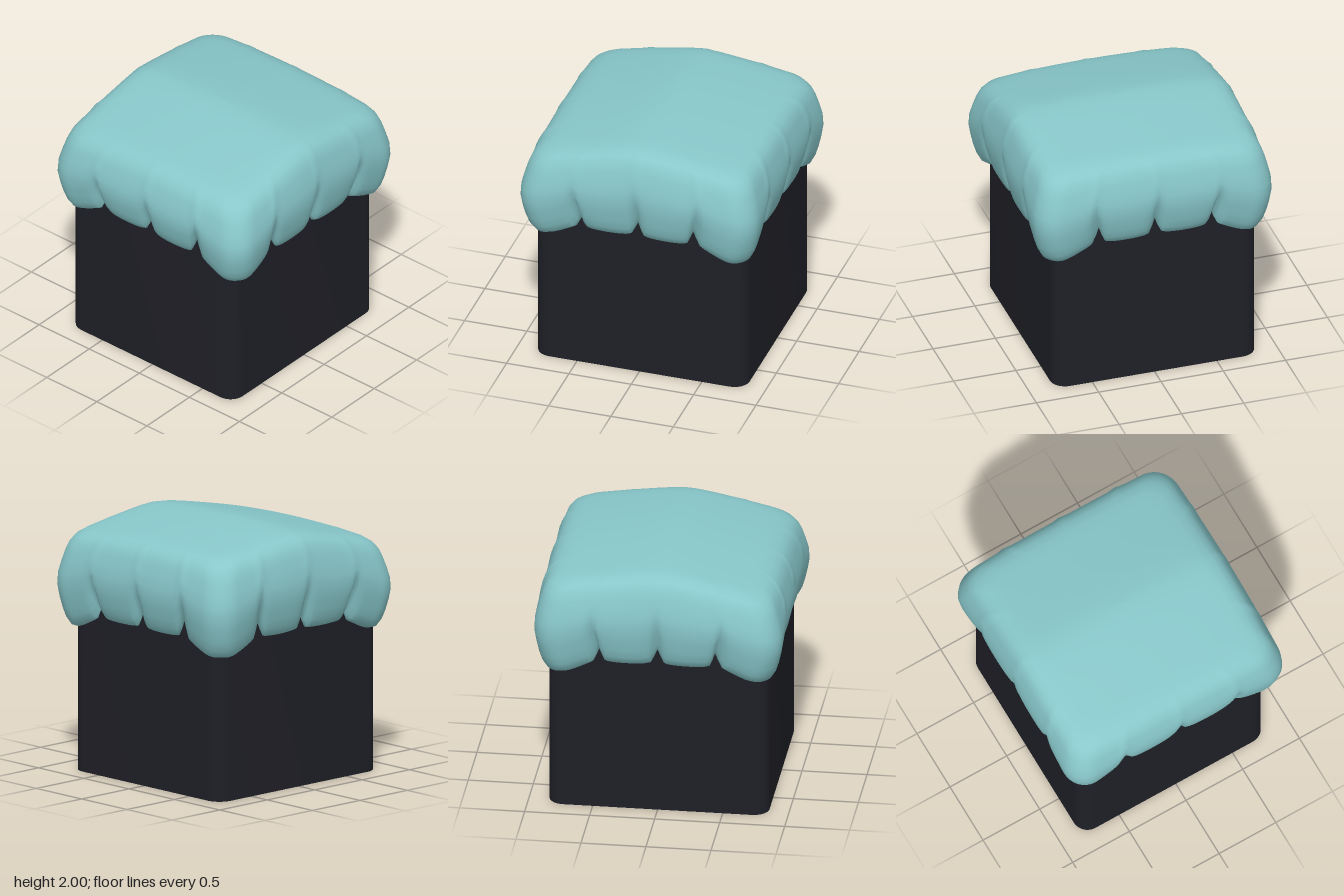
import * as THREE from 'three';
import { toCreasedNormals } from 'three/addons/utils/BufferGeometryUtils.js';

const { clamp, smoothstep, lerp } = THREE.MathUtils;
const PER_SIDE = 64;
const NOTCHES = [-17 / 32, 0, 17 / 32];

// Point on a rounded unit square; a runs -1..1 along each side
function roundedSquare(side, a, c = 0.2) {
  const k = 1 - c;
  const ix = clamp(a, -k, k), dx = a - ix;
  const len = Math.hypot(dx, c);
  const x = ix + (dx / len) * c, z = k + (c / len) * c;
  return [[x, z], [z, -x], [-x, -z], [-z, x]][side];
}

// Height of the domed top: a soft ridge along x, steeper towards the front
function topHeight(x, z) {
  const slope = z > 0 ? 0.225 : 0.15;
  return 2 - 0.055 * x * x - slope * (Math.sqrt(z * z + 0.02) - Math.sqrt(0.02));
}

// Scalloped hem: long corner lobes, shorter middle lobes, sharp notches between
function hem(a) {
  const d = Math.min(...NOTCHES.map((n) => Math.abs(a - n)));
  const notch = Math.max(0, 1 - d / 0.065);
  const corner = smoothstep(Math.abs(a), 0.5, 0.92);
  const y = 1.225 - 0.105 * corner + 0.09 * notch + 0.025 * Math.exp(-d / 0.08);
  return { y, groove: Math.exp(-d / 0.055) };
}

// Rings of the cap wall: [half extent, height fraction hem to top, groove depth]
const WALL = [
  [0.79, 0.07, 0], [0.835, 0.0, 0.02], [0.875, 0.02, 0.04], [0.905, 0.1, 0.045],
  [0.925, 0.2, 0.04], [0.942, 0.32, 0.028], [0.955, 0.45, 0.015], [0.95, 0.58, 0.006],
  [0.93, 0.7, 0], [0.908, 0.81, 0], [0.885, 0.89, 0], [0.85, 0.95, 0], [0.8, 0.985, 0], [0.73, 1, 0],
];
const TOP = [0.64, 0.54, 0.44, 0.34, 0.24, 0.16, 0.08, 0];

function capGeometry() {
  const rings = [...WALL, ...TOP.map((r) => [r, 1, 0])];
  const n = PER_SIDE * 4, pos = [], index = [];
  rings.forEach(([r, f, g]) => {
    for (let i = 0; i < n; i++) {
      const a = ((i % PER_SIDE) / PER_SIDE) * 2 - 1;
      const [ux, uz] = roundedSquare(Math.floor(i / PER_SIDE), a);
      const h = hem(a);
      const e = r - g * h.groove;
      const x = ux * e, z = uz * e;
      pos.push(x, lerp(h.y, topHeight(x, z), f), z);
    }
  });
  for (let j = 0; j < rings.length - 1; j++) {
    for (let i = 0; i < n; i++) {
      const k = (i + 1) % n;
      const p = j * n + i, q = j * n + k, s = p + n, t = q + n;
      index.push(p, q, t);
      if (j < rings.length - 2) index.push(p, t, s);
    }
  }
  const geo = new THREE.BufferGeometry();
  geo.setAttribute('position', new THREE.Float32BufferAttribute(pos, 3));
  geo.setIndex(index);
  geo.computeVertexNormals();
  return geo;
}

// Block with rounded upright edges
function blockGeometry(hx, hz, height, r) {
  const s = new THREE.Shape();
  s.absarc(hx - r, hz - r, r, 0, Math.PI / 2);
  s.absarc(-hx + r, hz - r, r, Math.PI / 2, Math.PI);
  s.absarc(-hx + r, -hz + r, r, Math.PI, Math.PI * 1.5);
  s.absarc(hx - r, -hz + r, r, Math.PI * 1.5, Math.PI * 2);
  const geo = new THREE.ExtrudeGeometry(s, { depth: height, bevelEnabled: false, curveSegments: 5 });
  geo.rotateX(-Math.PI / 2);
  return toCreasedNormals(geo, 0.7);
}

export function createModel() {
  const group = new THREE.Group();

  // Dark block
  const block = new THREE.Mesh(
    blockGeometry(0.815, 0.845, 1.6, 0.12),
    new THREE.MeshStandardMaterial({ color: 0x1f2027 })
  );
  block.name = 'block';
  block.position.x = -0.015;

  // Soft scalloped cap draped over the block
  const cap = new THREE.Mesh(
    capGeometry(),
    new THREE.MeshStandardMaterial({ color: 0x88c7ca, side: THREE.DoubleSide })
  );
  cap.name = 'cap';

  group.add(block, cap);
  return group;
}
